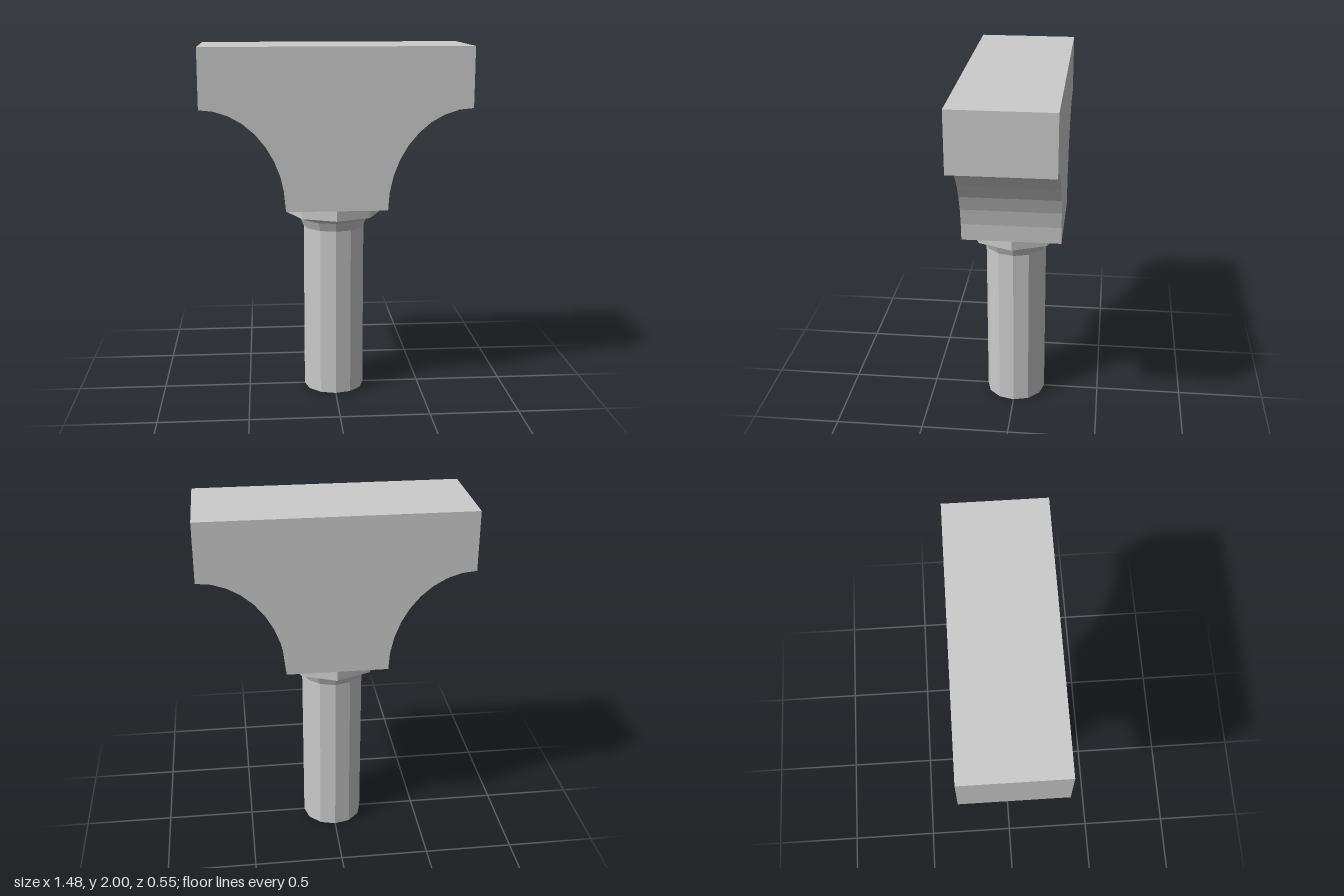
import * as THREE from 'three';

export function createModel() {
  const group = new THREE.Group();
  const material = new THREE.MeshStandardMaterial({ color: 0xcccccc, flatShading: true });
  const add = (name, geometry, y = 0) => {
    const mesh = new THREE.Mesh(geometry, material);
    mesh.name = name;
    mesh.position.y = y;
    group.add(mesh);
  };

  // Head: a slab whose two lower corners are scooped out by quarter ellipses
  const halfWidth = 0.74, neck = 0.28, bottom = 1.11, scoopTop = 1.67, depth = 0.55, steps = 9;
  const scoop = [];
  for (let i = 0; i <= steps; i++) {
    const a = (i / steps) * Math.PI / 2;
    scoop.push(new THREE.Vector2(
      halfWidth - (halfWidth - neck) * Math.cos(a),
      bottom + (scoopTop - bottom) * Math.sin(a)));
  }
  const mirrored = scoop.map(p => new THREE.Vector2(-p.x, p.y)).reverse();
  const outline = new THREE.Shape([
    ...scoop,
    new THREE.Vector2(halfWidth, 2),
    new THREE.Vector2(-halfWidth, 2),
    ...mirrored,
  ]);
  const head = new THREE.ExtrudeGeometry(outline, { depth, bevelEnabled: false });
  head.translate(0, 0, -depth / 2);
  add('head', head);

  // Octagonal collar under the head
  add('collar', new THREE.CylinderGeometry(0.27, 0.27, 0.06, 8), 1.08);

  // Twelve-sided shaft, flaring out to meet the collar
  const profile = [[0, 0], [0.173, 0], [0.173, 0.97], [0.195, 1.02], [0.23, 1.05], [0, 1.05]]
    .map(([r, y]) => new THREE.Vector2(r, y));
  add('shaft', new THREE.LatheGeometry(profile, 12));

  return group;
}
